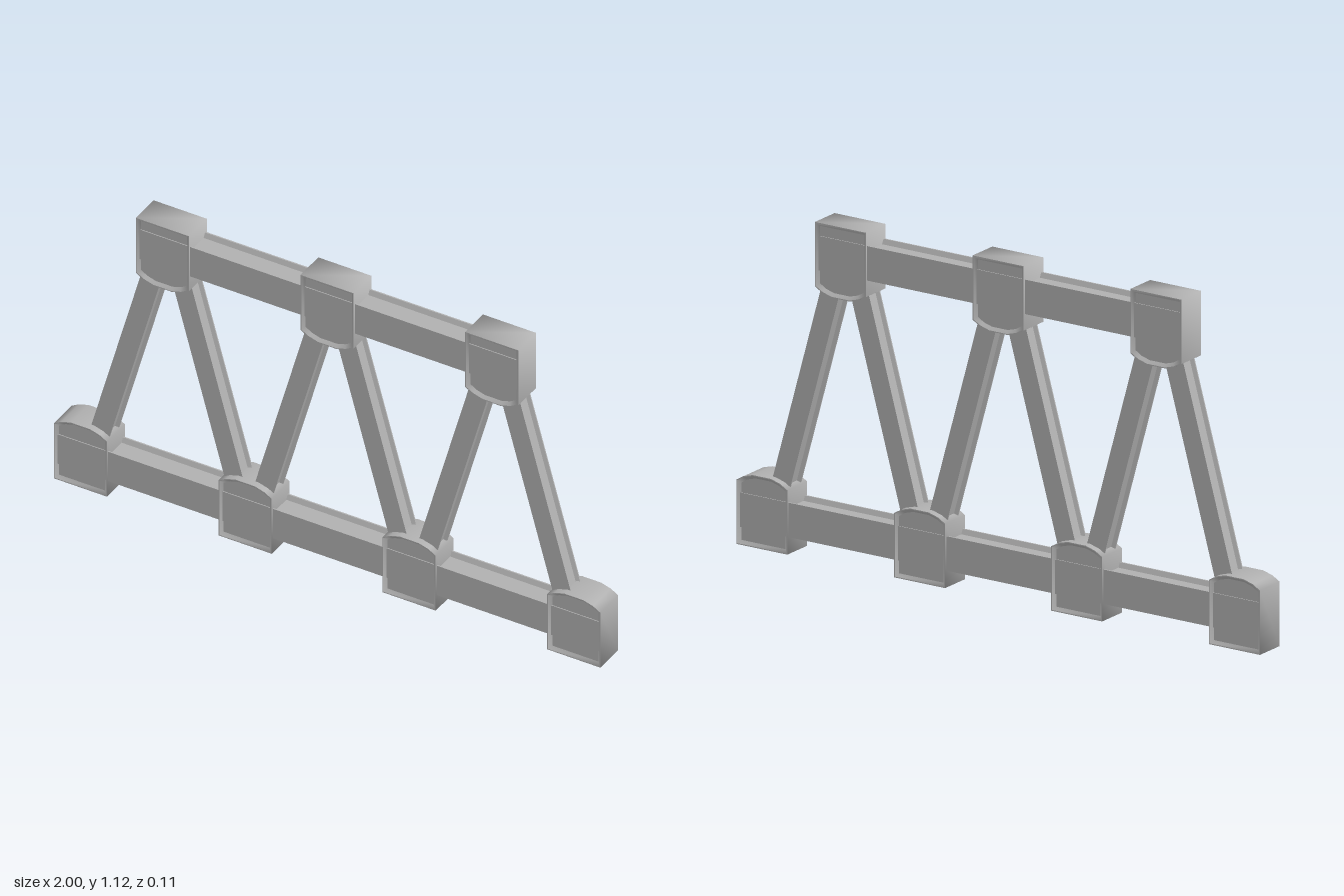
import * as THREE from 'three';

// H-section bar from a to b: thin front and back flanges joined by a recessed web
function bar(name, a, b, { depth, half, flange, slope, recess }, material) {
  const d = depth, h = half, f = d - flange, s = d - slope, w = h - recess;
  const profile = [
    [d, -h], [d, h], [f, h], [s, w], [-s, w], [-f, h],
    [-d, h], [-d, -h], [-f, -h], [-s, -w], [s, -w], [f, -h],
  ].map(([x, y]) => new THREE.Vector2(x, y));
  const length = Math.hypot(b[0] - a[0], b[1] - a[1]);
  const geometry = new THREE.ExtrudeGeometry(new THREE.Shape(profile), { depth: length, bevelEnabled: false });
  geometry.translate(0, 0, -length / 2).rotateY(Math.PI / 2);
  const mesh = new THREE.Mesh(geometry, material);
  mesh.name = name;
  mesh.position.set((a[0] + b[0]) / 2, (a[1] + b[1]) / 2, 0);
  mesh.rotation.z = Math.atan2(b[1] - a[1], b[0] - a[0]);
  return mesh;
}

// Strip between closed loops of points; sharing vertices keeps it smooth
function loft(loops) {
  const n = loops[0].length, index = [];
  for (let k = 0; k < loops.length - 1; k++) {
    for (let i = 0; i < n; i++) {
      const j = (i + 1) % n, a = k * n + i, b = k * n + j;
      index.push(a, b, b + n, a, b + n, a + n);
    }
  }
  const geometry = new THREE.BufferGeometry();
  geometry.setAttribute('position', new THREE.Float32BufferAttribute(loops.flat(2), 3));
  geometry.setIndex(index);
  geometry.computeVertexNormals();
  return geometry;
}

// Joint block with a bowed crown and a recessed plate inside a bevelled rim on both faces
const OUTLINE = [
  [-0.0975, 0], [0.0975, 0], [0.0975, 0.213], [0.07, 0.229],
  [0.035, 0.239], [-0.035, 0.239], [-0.07, 0.229], [-0.0975, 0.213],
];
const MID = 0.12;

function ring(inset, z) {
  const sx = 1 - inset / 0.0975, sy = 1 - inset / MID;
  return OUTLINE.map(([x, y]) => [x * sx, (y - MID) * sy, z]);
}

function joint(name, material) {
  const group = new THREE.Group();
  group.name = name;
  const add = (part, geometry) => {
    const mesh = new THREE.Mesh(geometry, material);
    mesh.name = part;
    group.add(mesh);
    return mesh;
  };
  add('jointWall', loft([ring(0, 0.055), ring(0, -0.055)].reverse()));
  const plate = new THREE.Shape(ring(0.013, 0).map(([x, y]) => new THREE.Vector2(x, y)));
  for (const turn of [0, Math.PI]) {
    const land = add('jointRim', loft([ring(0, 0.055), ring(0.003, 0.055)]));
    const bevel = add('jointBevel', loft([ring(0.003, 0.055), ring(0.013, 0.045)]));
    const face = add('jointPlate', new THREE.ShapeGeometry(plate).translate(0, 0, 0.045));
    for (const mesh of [land, bevel, face]) mesh.rotation.y = turn;
  }
  return group;
}

export function createModel() {
  const model = new THREE.Group();
  model.name = 'truss';
  const steel = new THREE.MeshStandardMaterial({ color: 0xb0b0b0 });
  steel.name = 'steelGrey';

  const chord = { depth: 0.048, half: 0.057, flange: 0.005, slope: 0.013, recess: 0.016 };
  const brace = { depth: 0.031, half: 0.035, flange: 0.004, slope: 0.01, recess: 0.012 };

  // Horizontal chords
  model.add(bar('bottomChord', [-0.99, 0.113], [0.99, 0.113], chord, steel));
  model.add(bar('topChord', [-0.69, 1.017], [0.69, 1.017], chord, steel));

  // Joints along the bottom, and inverted along the top
  for (const x of [-0.9025, -0.3, 0.3, 0.9025]) {
    const block = joint('bottomJoint', steel);
    block.position.set(x, MID, 0);
    model.add(block);
  }
  for (const x of [-0.6025, 0, 0.6025]) {
    const block = joint('topJoint', steel);
    block.position.set(x, 1.12 - MID, 0);
    block.rotation.z = Math.PI;
    model.add(block);
  }

  // Diagonal braces, a mirrored pair under each top joint
  for (const x of [-0.6, 0, 0.6]) {
    for (const side of [-1, 1]) {
      model.add(bar('diagonalBrace', [x + side * 0.265, 0.15], [x + side * 0.033, 0.98], brace, steel));
    }
  }
  return model;
}
